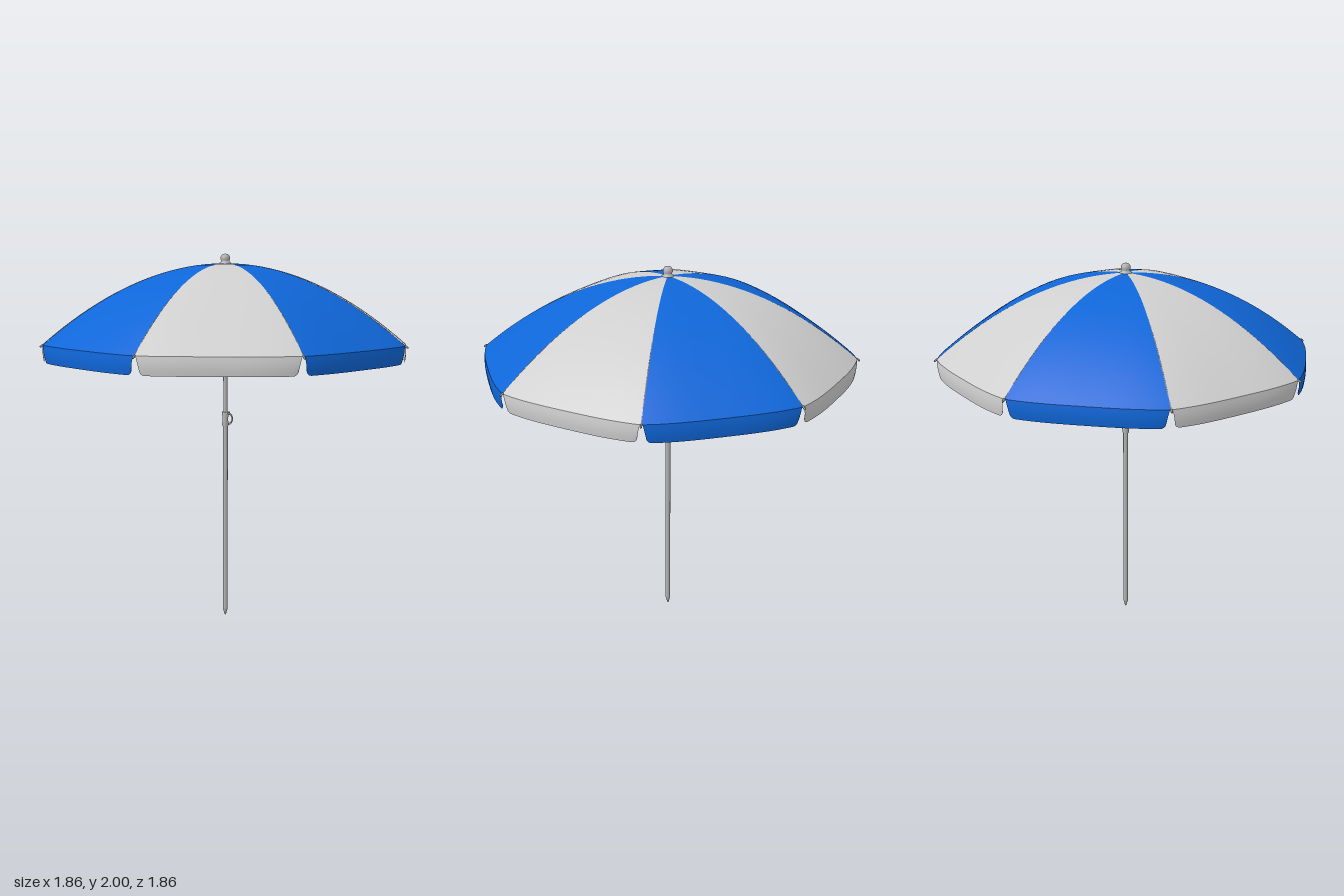
import * as THREE from 'three';

const PANELS = 8, HALF = Math.PI / PANELS;
const RIM = 0.97, TOP = 1.95, DROP = 0.4;

// Height of the canopy along a rib, t = 0 at the crown and 1 at the rim
const ribY = (t) => TOP - DROP * t * t;

// Smooth surface from a rule: fn(u, v), both 0..1, gives [x, y, z]
function surface(nu, nv, fn) {
  const pos = [], index = [];
  for (let j = 0; j <= nv; j++)
    for (let i = 0; i <= nu; i++) pos.push(...fn(i / nu, j / nv));
  for (let j = 0; j < nv; j++)
    for (let i = 0; i < nu; i++) {
      const a = j * (nu + 1) + i, b = a + 1, c = a + nu + 1, d = c + 1;
      index.push(a, c, b, b, c, d);
    }
  const g = new THREE.BufferGeometry();
  g.setAttribute('position', new THREE.Float32BufferAttribute(pos, 3));
  g.setIndex(index);
  g.computeVertexNormals();
  return g;
}

// Point on a canopy panel facing +z; s runs -1..1 between its two ribs
function panelPoint(s, t) {
  const r = RIM * t;
  const bulge = 1 + 0.033 * (1 - Math.abs(s) ** 3);
  return [s * r * Math.sin(HALF), ribY(t), r * Math.cos(HALF) * bulge];
}

// Samples gathered towards the panel edges
const spread = (u) => Math.sin((u - 0.5) * Math.PI);

// Hanging valance with tapered sides and rounded lower corners
function flapPoint(s, v) {
  const [x, y, z] = panelPoint(s, 1);
  const q = Math.max(0, (Math.abs(s) - 0.93) / 0.07);
  const depth = 0.088 - 0.025 * (1 - Math.sqrt(Math.max(0, 1 - q * q)));
  return [x * (0.985 - 0.04 * v), y - v * depth, z + 0.004 * Math.sin(v * Math.PI)];
}

export function createModel() {
  const group = new THREE.Group();
  const blue = new THREE.MeshStandardMaterial({ color: 0x0f66d8, side: THREE.DoubleSide });
  blue.name = 'blue fabric';
  const white = new THREE.MeshStandardMaterial({ color: 0xcfcfcf, side: THREE.DoubleSide });
  white.name = 'white fabric';
  const metal = new THREE.MeshStandardMaterial({ color: 0xb4b4b4 });
  metal.name = 'pole metal';
  const wire = new THREE.MeshStandardMaterial({ color: 0x8c8c8c });
  wire.name = 'frame wire';

  const add = (name, geometry, material, parent = group) => {
    const m = new THREE.Mesh(geometry, material);
    m.name = name;
    parent.add(m);
    return m;
  };
  const lathe = (points, n = 24) =>
    new THREE.LatheGeometry(points.map((p) => new THREE.Vector2(...p)), n);
  const tube = (points, radius, n) =>
    new THREE.TubeGeometry(
      new THREE.CatmullRomCurve3(points.map((p) => new THREE.Vector3(...p))), n, radius, 6);

  // Canopy panels and valance, alternating colours
  const panelGeo = surface(24, 20, (u, v) => panelPoint(spread(u), 0.012 + 0.988 * v));
  const flapGeo = surface(40, 5, (u, v) => flapPoint(spread(u), v));
  for (let k = 0; k < PANELS; k++) {
    const section = new THREE.Group();
    section.name = 'canopySection';
    section.rotation.y = 2 * HALF * k;
    const fabric = k % 2 ? blue : white;
    add('panel', panelGeo, fabric, section);
    add('valance', flapGeo, fabric, section);
    group.add(section);
  }

  // Ribs under the seams, stretchers from the runner, rib end tips
  const ribPoints = [];
  for (let i = 0; i <= 8; i++) {
    const t = 0.015 + (i / 8) * 0.985;
    ribPoints.push([0, ribY(t) - 0.004, RIM * t]);
  }
  const ribGeo = tube(ribPoints, 0.004, 24);
  const joint = 0.47;
  const stretcherGeo = tube(
    [[0, 1.755, 0.02], [0, 1.795, 0.24], [0, ribY(joint / RIM) - 0.008, joint]], 0.0035, 10);
  for (let k = 0; k < PANELS; k++) {
    const arm = new THREE.Group();
    arm.name = 'frameArm';
    arm.rotation.y = HALF * (2 * k + 1);
    add('rib', ribGeo, wire, arm);
    add('stretcher', stretcherGeo, wire, arm);
    const tip = add('ribTip', new THREE.CapsuleGeometry(0.005, 0.014, 4, 8), wire, arm);
    tip.position.set(0, 1.547, 0.974);
    tip.rotation.x = 2.2;
    group.add(arm);
  }

  // Pole in two sections with a pointed foot
  add('lowerPole', new THREE.CylinderGeometry(0.0135, 0.0135, 1.12, 20).translate(0, 0.6, 0), metal);
  add('upperPole', new THREE.CylinderGeometry(0.011, 0.011, 0.8, 20).translate(0, 1.55, 0), metal);
  add('groundSpike', lathe([[0, 0], [0.004, 0.004], [0.0135, 0.04]]), metal);

  // Sliding runner, crown hub and joint collar
  add('runner', lathe([[0.011, 1.72], [0.018, 1.72], [0.018, 1.745], [0.026, 1.748],
    [0.026, 1.764], [0.018, 1.768], [0.011, 1.768]]), metal);
  add('crownHub', lathe([[0.011, 1.9], [0.022, 1.9], [0.03, 1.922], [0.03, 1.938], [0.011, 1.942]]), metal);
  add('tiltCollar', new THREE.CylinderGeometry(0.0145, 0.0145, 0.05, 20).translate(0, 1.6, 0), metal);

  // Finial
  add('finial', lathe([[0, 1.944], [0.031, 1.944], [0.031, 1.952], [0.022, 1.958], [0.021, 1.966],
    [0.025, 1.97], [0.024, 1.985], [0.016, 1.996], [0, 2]]), metal);

  // Height clamp with its loop handle
  add('clampCollar', lathe([[0.0135, 1.085], [0.0175, 1.085], [0.0155, 1.12], [0.0175, 1.16], [0.0135, 1.16]]), metal);
  const loop = add('clampLoop', new THREE.TorusGeometry(0.022, 0.0045, 8, 24), metal);
  loop.position.set(0.019, 1.122, 0);
  loop.scale.set(0.85, 1.25, 1);
  add('clampLatch', new THREE.BoxGeometry(0.02, 0.01, 0.02).translate(0.015, 1.155, 0), metal);

  group.position.set(-0.004, 0, -0.004);
  const root = new THREE.Group();
  root.name = 'parasol';
  group.name = 'parasolParts';
  root.add(group);
  return root;
}
